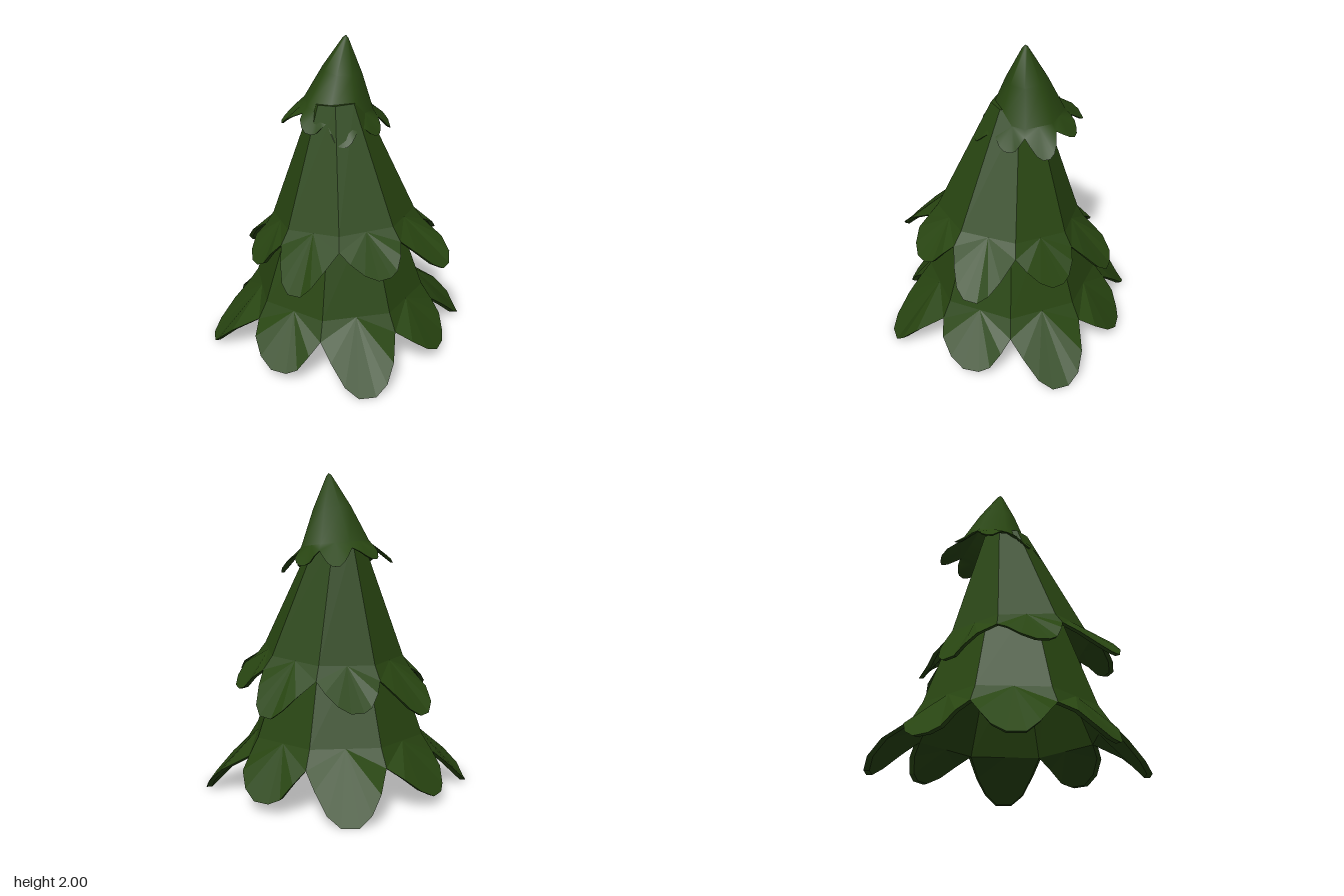
import * as THREE from 'three';
import { toCreasedNormals } from 'three/addons/utils/BufferGeometryUtils.js';

// One quarter of a tier's scalloped rim [x, y, z], y = 0 at the notches:
// a short lobe, then a long lobe. Turned four times it closes the rim.
const RIM = [
  [-0.44, 0, 0.44], [-0.435, -0.06, 0.55], [-0.38, -0.14, 0.64], [-0.3, -0.19, 0.7],
  [-0.2, -0.19, 0.725], [-0.13, -0.16, 0.72], [-0.06, -0.07, 0.69],
  [0, 0, 0.63], [0.08, -0.09, 0.71], [0.18, -0.2, 0.785], [0.27, -0.255, 0.805],
  [0.37, -0.255, 0.77], [0.43, -0.19, 0.72], [0.455, -0.1, 0.62],
];
const STEPS = 7; // rim segments per lobe
const UP = new THREE.Vector3(0, 1, 0);

// Octagonal ring with corners above the notches
function ring(radius, y) {
  return Array.from({ length: 8 }, (_, i) => {
    const a = (i - 1) * Math.PI / 4;
    return new THREE.Vector3(Math.sin(a) * radius, y, Math.cos(a) * radius);
  });
}

// Hollow tier: rings is a list of [radius, y] from the shoulder up to the top
function tierGeometry(rings, crease) {
  const pos = [];
  const tri = (a, b, c) => pos.push(...a.toArray(), ...b.toArray(), ...c.toArray());
  const quad = (a, b, c, d) => { tri(a, b, c); tri(a, c, d); };

  const rim = [];
  for (let q = 0; q < 4; q++) {
    for (const p of RIM) rim.push(new THREE.Vector3(...p).applyAxisAngle(UP, q * Math.PI / 2));
  }
  // Inner rim, moved towards the axis for the thickness of the lobes
  const inner = rim.map((p) => {
    const k = 1 - 0.035 / Math.hypot(p.x, p.z);
    return new THREE.Vector3(p.x * k, p.y, p.z * k);
  });

  const outerRings = rings.map(([r, y]) => ring(r, y));
  const [topR, topY] = rings[rings.length - 1];
  const ceiling = ring(Math.max(topR - 0.04, 0.04), topY - 0.1);
  const topPoint = new THREE.Vector3(0, topY, 0);
  const ceilingPoint = new THREE.Vector3(0, topY - 0.1, 0);

  for (let i = 0; i < 8; i++) {
    const n = (i + 1) % 8;
    // outer wall and top
    for (let k = 0; k + 1 < outerRings.length; k++) {
      const lo = outerRings[k], hi = outerRings[k + 1];
      if (rings[k + 1][0] === 0) tri(lo[i], lo[n], topPoint);
      else quad(lo[i], lo[n], hi[n], hi[i]);
    }
    if (topR > 0) {
      const top = outerRings[outerRings.length - 1];
      tri(top[i], top[n], topPoint);
    }
    // lobe: upper face, rim edge and underside
    const a = outerRings[0][i], b = outerRings[0][n];
    const mid = a.clone().lerp(b, 0.5);
    const s = i * STEPS, e = (s + STEPS) % rim.length;
    const innerMid = inner[s].clone().lerp(inner[e], 0.5);
    tri(a, rim[s], mid);
    tri(mid, rim[e], b);
    for (let j = s; j < s + STEPS; j++) {
      const k = (j + 1) % rim.length;
      tri(mid, rim[j], rim[k]);
      quad(rim[j], inner[j], inner[k], rim[k]);
      tri(innerMid, inner[k], inner[j]);
    }
    // inner wall and ceiling
    quad(inner[e], inner[s], ceiling[i], ceiling[n]);
    tri(ceiling[n], ceiling[i], ceilingPoint);
  }
  const geo = new THREE.BufferGeometry();
  geo.setAttribute('position', new THREE.Float32BufferAttribute(pos, 3));
  geo.computeVertexNormals();
  return crease ? toCreasedNormals(geo, crease) : geo;
}

export function createModel() {
  const group = new THREE.Group();
  group.name = 'pineTree';
  const needles = new THREE.MeshStandardMaterial({ color: 0x284511 });
  needles.name = 'needleGreen';

  // at: centre of the notch circle; turn in degrees; lean: direction of the axis
  const tiers = [
    { name: 'lowerTier', at: [0, 0.257, 0], size: 1, turn: 0, lean: [0, 0],
      rings: [[0.56, 0.11], [0.335, 0.74]] },
    { name: 'middleTier', at: [0.043, 0.8, 0.03], size: 0.82, turn: -38.4, lean: [-0.07, -0.07],
      rings: [[0.555, 0.1], [0.19, 0.98]] },
    { name: 'topTier', at: [-0.02, 1.52, -0.1], size: 0.41, turn: -5, lean: [0.11, 0.05], crease: 1,
      rings: [[0.55, 0.1], [0.31, 0.64], [0.045, 1.13], [0, 1.175]] },
  ];
  for (const t of tiers) {
    const mesh = new THREE.Mesh(tierGeometry(t.rings, t.crease), needles);
    mesh.name = t.name;
    mesh.position.set(...t.at);
    mesh.scale.setScalar(t.size);
    mesh.quaternion
      .setFromUnitVectors(UP, new THREE.Vector3(t.lean[0], 1, t.lean[1]).normalize())
      .multiply(new THREE.Quaternion().setFromAxisAngle(UP, THREE.MathUtils.degToRad(t.turn)));
    group.add(mesh);
  }
  return group;
}
